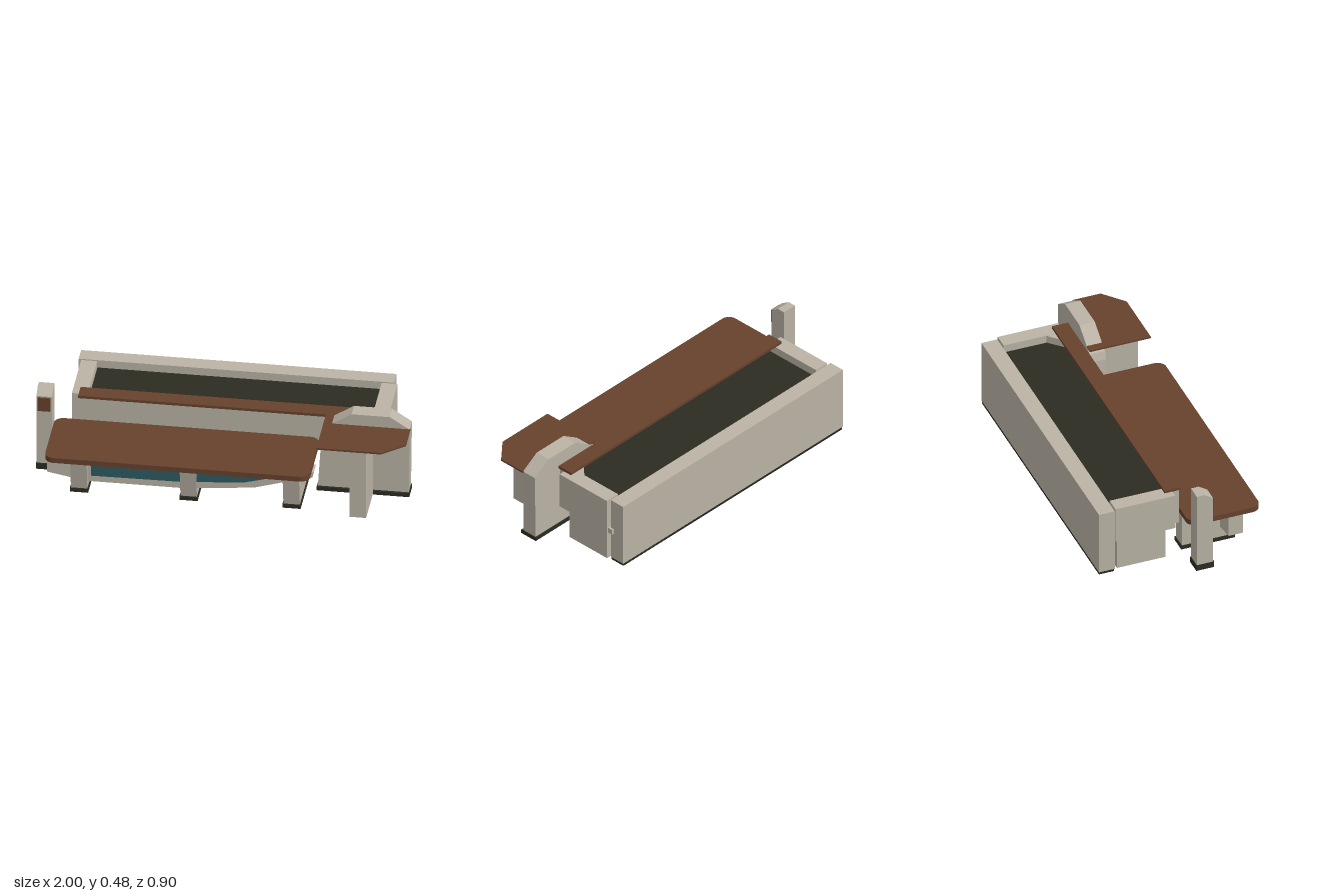
import * as THREE from 'three';

export function createModel() {
  const model = new THREE.Group();
  const flat = (name, color) => {
    const m = new THREE.MeshStandardMaterial({ color });
    m.name = name;
    return m;
  };
  const cream = flat('cream', 0xbab3a5);
  const brown = flat('brown', 0x66422d);
  const dark = flat('dark', 0x2c2c22);
  const teal = flat('teal', 0x2e5b61);

  const add = (name, geo, mat) => {
    const mesh = new THREE.Mesh(geo, mat);
    mesh.name = name;
    model.add(mesh);
    return mesh;
  };
  // Box given by its extents
  const box = (name, mat, x0, x1, y0, y1, z0, z1) =>
    add(name, new THREE.BoxGeometry(x1 - x0, y1 - y0, z1 - z0)
      .translate((x0 + x1) / 2, (y0 + y1) / 2, (z0 + z1) / 2), mat);
  const poly = (pts) => new THREE.Shape(pts.map(([a, b]) => new THREE.Vector2(a, b)));
  const extrude = (shape, depth) =>
    new THREE.ExtrudeGeometry(shape, { depth, bevelEnabled: false, curveSegments: 8 });
  // Outline in x,y pulled along z
  const frontPrism = (name, mat, pts, z0, z1) =>
    add(name, extrude(poly(pts), z1 - z0).translate(0, 0, z0), mat);
  // Outline in z,y pulled along x
  const sidePrism = (name, mat, pts, x0, x1) =>
    add(name, extrude(poly(pts), x1 - x0).rotateY(-Math.PI / 2).translate(x1, 0, 0), mat);
  // Outline in x,z pulled upwards
  const planPrism = (name, mat, pts, y0, y1) =>
    add(name, extrude(poly(pts.map(([x, z]) => [x, -z])), y1 - y0)
      .rotateX(-Math.PI / 2).translate(0, y0, 0), mat);

  // Planter: back wall, ends, front panel, soil and shelf
  box('backWall', cream, -0.845, 0.84, 0.017, 0.39, -0.45, -0.36);
  box('backWallPlinth', dark, -0.84, 0.835, 0, 0.017, -0.448, -0.362);
  box('leftEnd', cream, 0.775, 0.86, 0.18, 0.39, -0.35, -0.005);
  box('rightEnd', cream, -0.83, -0.745, 0.18, 0.39, -0.35, -0.01);
  box('leftEndSupport', cream, 0.775, 0.845, 0, 0.18, -0.338, -0.062);
  box('rightEndSupport', cream, -0.82, -0.745, 0, 0.18, -0.338, -0.062);
  box('sideBracket', cream, 0.835, 0.852, 0.18, 0.21, -0.382, -0.348);
  box('planterFront', cream, -0.79, 0.82, 0.18, 0.39, -0.005, 0.028);
  box('planterBottom', cream, -0.745, 0.775, 0.181, 0.2, -0.36, -0.005);
  box('soil', dark, -0.745, 0.775, 0.335, 0.345, -0.36, -0.005);
  planPrism('cornerBlock', cream, [[0.775, -0.105], [0.775, -0.006], [0.675, -0.006]], 0.2, 0.388);
  box('planterShelf', brown, -0.79, 0.825, 0.39, 0.405, -0.055, 0.036);

  // Desk top with rounded corners
  const x0 = -0.912, x1 = 0.502, z0 = 0.036, z1 = 0.447, r = 0.05;
  const top = new THREE.Shape();
  top.absarc(x1 - r, -z0 - r, r, 0, Math.PI / 2);
  top.absarc(x0 + r, -z0 - r, r, Math.PI / 2, Math.PI);
  top.absarc(x0 + r, -z1 + r, r, Math.PI, Math.PI * 1.5);
  top.absarc(x1 - r, -z1 + r, r, Math.PI * 1.5, Math.PI * 2);
  add('deskTop', extrude(top, 0.03).rotateX(-Math.PI / 2).translate(0, 0.23, 0), brown);

  // Desk legs on dark feet
  for (const x of [-0.74, -0.155, 0.395]) {
    sidePrism('deskLeg', cream,
      [[0.046, 0.022], [0.34, 0.022], [0.376, 0.23], [0.046, 0.23]], x - 0.044, x + 0.044);
    box('deskFoot', dark, x - 0.049, x + 0.049, 0, 0.022, 0.04, 0.347);
  }

  // Shaped apron under the desk with a window strip
  frontPrism('apron', cream, [
    [-0.91, 0.23], [-0.91, 0.11], [-0.79, 0.088], [-0.69, 0.072], [-0.2, 0.072],
    [0.0, 0.088], [0.2, 0.11], [0.35, 0.155], [0.44, 0.18], [0.49, 0.188],
    [0.507, 0.2], [0.514, 0.23],
  ], 0.262, 0.344);
  frontPrism('apronWindow', teal, [
    [-0.675, 0.2], [-0.675, 0.108], [-0.2, 0.112], [-0.02, 0.125],
    [0.15, 0.14], [0.35, 0.195], [0.36, 0.2],
  ], 0.344, 0.348);

  // Side counter: upright slab, front pedestal and angled top
  frontPrism('counterUpright', cream, [
    [0.505, 0.022], [0.99, 0.022], [0.995, 0.41], [0.89, 0.478], [0.685, 0.478],
    [0.58, 0.41], [0.54, 0.385], [0.525, 0.34],
  ], 0.046, 0.133);
  box('counterPlinth', dark, 0.5, 0.995, 0, 0.022, 0.04, 0.146);
  box('counterPedestal', cream, 0.71, 0.8, 0, 0.402, 0.133, 0.388);
  planPrism('counterTop', brown, [
    [0.535, 0.046], [0.58, 0.046], [0.58, 0.13], [0.998, 0.13],
    [0.998, 0.29], [0.88, 0.392], [0.535, 0.392],
  ], 0.402, 0.412);

  // Free-standing post with sloped top and a plate
  sidePrism('post', cream,
    [[0.046, 0.035], [0.138, 0.035], [0.138, 0.447], [0.09, 0.478], [0.046, 0.478]], -0.998, -0.914);
  box('postFoot', dark, -1, -0.912, 0, 0.035, 0.042, 0.144);
  box('postPlate', brown, -0.99, -0.923, 0.36, 0.44, 0.138, 0.147);

  return model;
}
